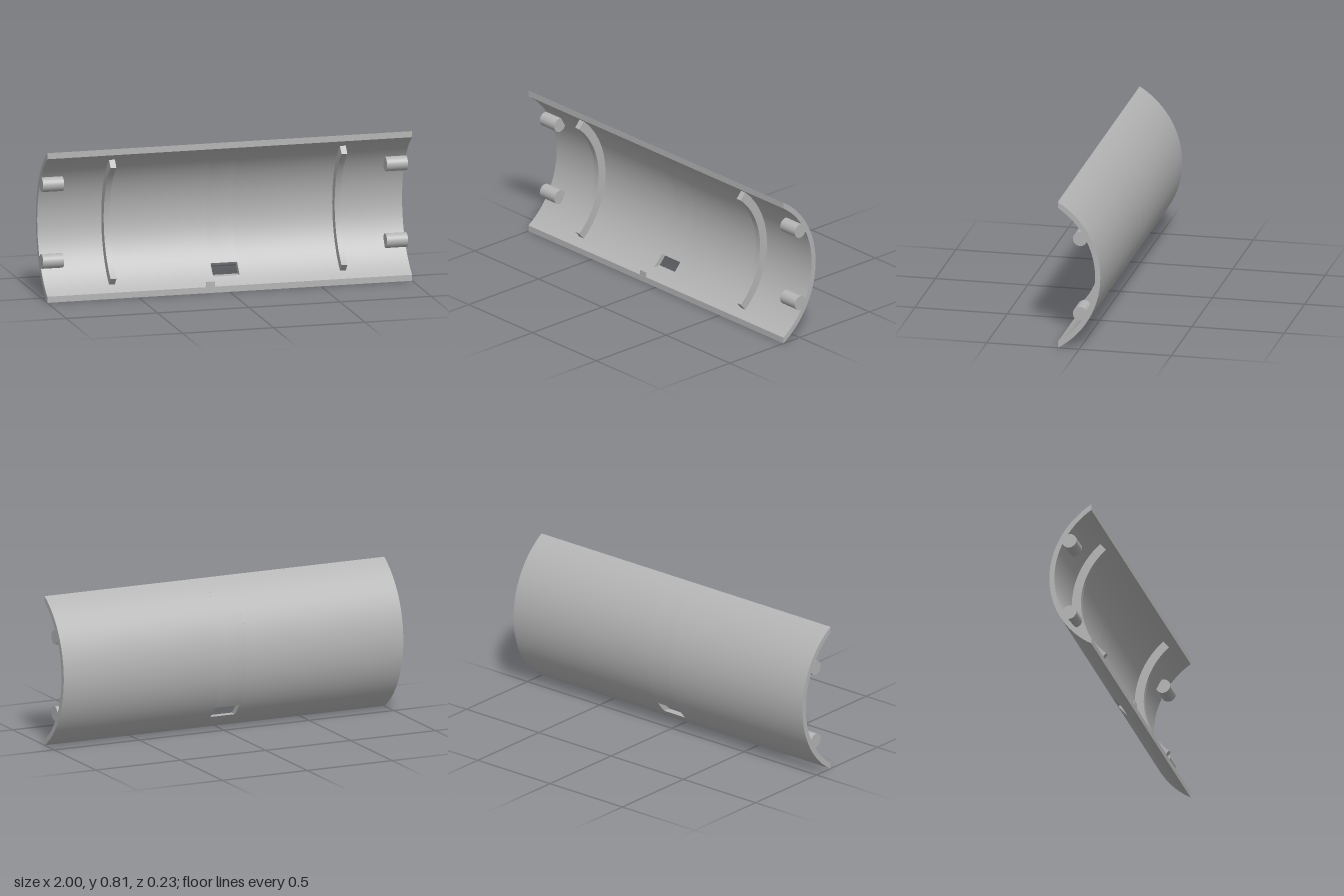
import * as THREE from 'three';
import { toCreasedNormals } from 'three/addons/utils/BufferGeometryUtils.js';

const CY = 0.406, CZ = 0.358;             // axis of the curved shell
const R_OUT = 0.473, R_IN = 0.445, R_RIB = 0.396;

export function createModel() {
  const group = new THREE.Group();
  group.name = 'halfTubeShell';
  const grey = new THREE.MeshStandardMaterial({ color: 0xb4b4b4 });
  grey.name = 'plainGrey';

  const add = (name, geometry) => {
    const mesh = new THREE.Mesh(geometry, grey);
    mesh.name = name;
    group.add(mesh);
    return mesh;
  };
  const angleAt = (y, r) => Math.asin((y - CY) / r);

  // Curved band between two radii, extruded along x from x0 to x1
  function band(name, x0, x1, rOut, [o0, o1], rIn, [i0, i1], n = 36) {
    const pts = [];
    const arc = (r, a, b) => {
      for (let k = 0; k <= n; k++) {
        const t = a + (b - a) * k / n;
        pts.push(new THREE.Vector2(r * Math.cos(t) - CZ, CY + r * Math.sin(t)));
      }
    };
    arc(rOut, o0, o1);
    arc(rIn, i1, i0);
    const geo = new THREE.ExtrudeGeometry(new THREE.Shape(pts), { depth: x1 - x0, bevelEnabled: false, steps: 1 });
    geo.rotateY(Math.PI / 2).translate(x0, 0, 0);
    add(name, toCreasedNormals(geo, 0.45));
  }

  // Shell wall, given by the heights of its lower and upper edges
  function wall(name, x0, x1, outer, inner, n) {
    band(name, x0, x1, R_OUT, outer.map(y => angleAt(y, R_OUT)), R_IN, inner.map(y => angleAt(y, R_IN)), n);
  }
  const w0 = -0.075, w1 = 0.07, wBottom = 0.075, wTop = 0.135;
  wall('shellRight', -1, w0, [0, 0.812], [0.033, 0.779]);
  wall('shellLeft', w1, 1, [0, 0.812], [0.033, 0.779]);
  wall('shellAboveWindow', w0, w1, [wTop, 0.812], [wTop, 0.779], 30);
  wall('shellBelowWindow', w0, w1, [0, wBottom], [0.033, wBottom], 6);

  // Ribs and end pegs, mirrored left and right
  const ribEnd = THREE.MathUtils.degToRad(49.5);
  for (const s of [-1, 1]) {
    const side = s > 0 ? 'Left' : 'Right';
    const x = s * 0.633;
    band('rib' + side, x - 0.016, x + 0.016, R_IN + 0.004, [-ribEnd, ribEnd], R_RIB, [-ribEnd, ribEnd]);
    for (const dy of [-0.208, 0.208]) {
      const peg = new THREE.CylinderGeometry(0.039, 0.039, 0.115, 32).rotateZ(Math.PI / 2);
      add((dy > 0 ? 'upperPeg' : 'lowerPeg') + side, peg).position.set(s * 0.9425, CY + dy, -0.005);
    }
  }

  // Small locating tab on the lower lip
  add('locatingTab', new THREE.BoxGeometry(0.045, 0.035, 0.007)).position.set(-0.103, 0.0425, 0.1115);

  return group;
}
